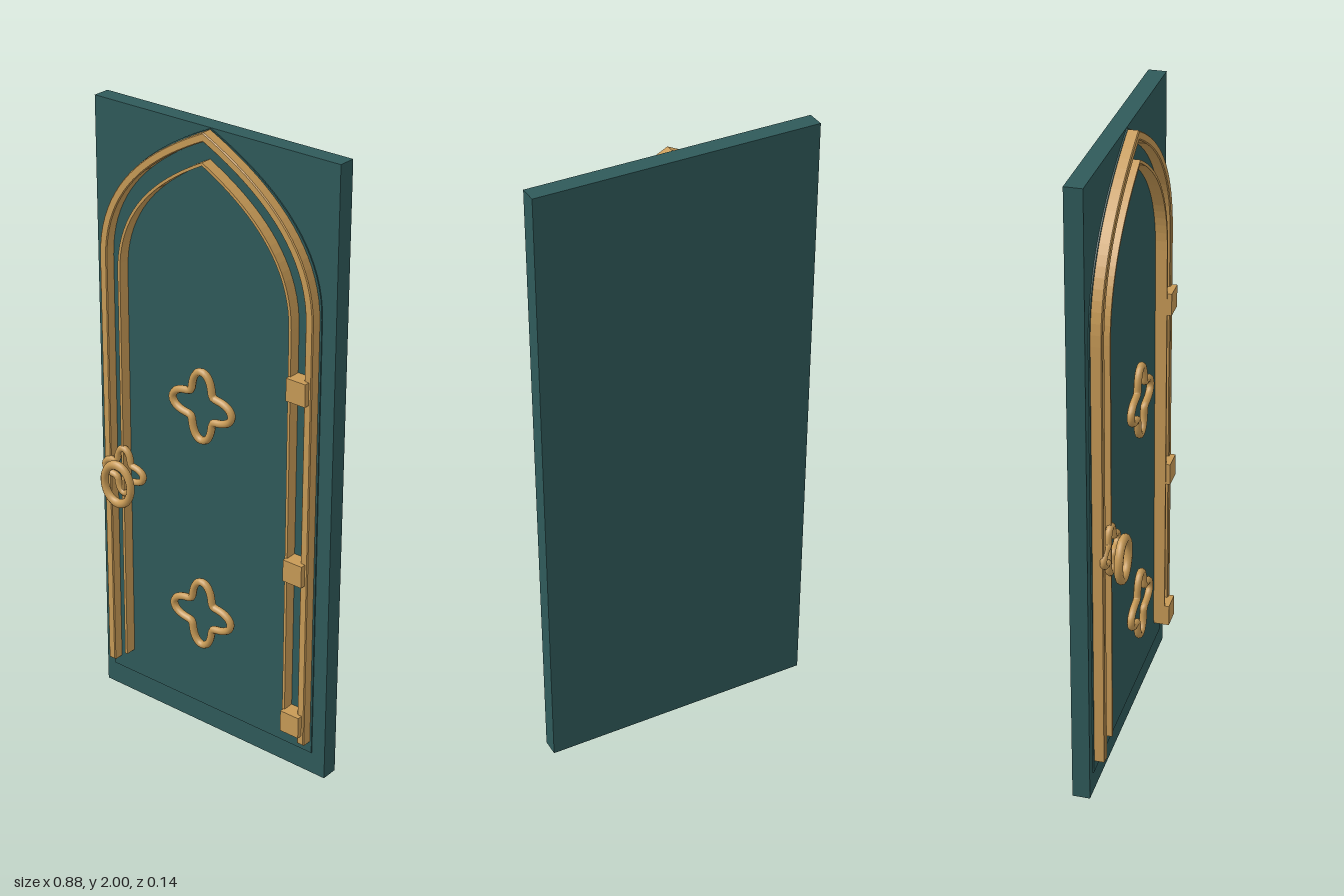
import * as THREE from 'three';

const CX = -0.008; // centre line of the arched door leaf
const teal = new THREE.MeshStandardMaterial({ color: 0x2f5a5a });
const gold = new THREE.MeshStandardMaterial({ color: 0xc79a56 });

// Pointed arch outline from bottom left, over the apex, to bottom right
function archPoints(w, spring, apex, bottom) {
  const rise = apex - spring;
  const curve = new THREE.CubicBezierCurve(
    new THREE.Vector2(-w, spring), new THREE.Vector2(-w, spring + rise * 0.49),
    new THREE.Vector2(-w * 0.53, spring + rise * 0.79), new THREE.Vector2(0, apex));
  const left = [new THREE.Vector2(-w, bottom), ...curve.getPoints(20)];
  const right = left.slice(0, -1).reverse().map(p => new THREE.Vector2(-p.x, p.y));
  return [...left, ...right];
}

// Closed four-lobed curve in the xy plane
class Quatrefoil extends THREE.Curve {
  constructor(size) { super(); this.size = size; }
  getPoint(t, target = new THREE.Vector3()) {
    const a = t * Math.PI * 2;
    const r = this.size * (0.765 + 0.235 * Math.cos(4 * a));
    return target.set(r * Math.cos(a), r * Math.sin(a), 0);
  }
}

export function createModel() {
  const group = new THREE.Group();
  const add = (name, geometry, material, x, y, z) => {
    const mesh = new THREE.Mesh(geometry, material);
    mesh.name = name;
    mesh.position.set(x, y, z);
    group.add(mesh);
    return mesh;
  };
  const extrude = (points, depth, bevel = 0) => new THREE.ExtrudeGeometry(new THREE.Shape(points), {
    depth: depth - bevel, bevelEnabled: bevel > 0, bevelThickness: bevel,
    bevelSize: bevel, bevelOffset: -bevel, bevelSegments: 1 });

  // Wall slab and the arched leaf set into it
  add('wallSlab', new THREE.BoxGeometry(0.88, 2, 0.055), teal, 0, 1, -0.0435);
  add('doorLeaf', extrude(archPoints(0.4, 1.53, 1.999, 0.075), 0.038), teal, CX, 0, -0.05);

  // Arched mouldings: a wide outer band and a thin inner one
  const band = (outer, inner) => [...archPoints(...outer), ...archPoints(...inner).reverse()];
  add('outerMoulding', extrude(band([0.394, 1.52, 1.996, 0.115], [0.368, 1.52, 1.968, 0.115]), 0.033, 0.003),
    gold, CX, 0, -0.012);
  add('innerMoulding', extrude(band([0.322, 1.49, 1.909, 0.16], [0.313, 1.49, 1.899, 0.16]), 0.036),
    gold, CX, 0, -0.012);

  // Hinges
  for (const y of [0.185, 0.717, 1.31]) {
    add('hinge', new THREE.BoxGeometry(0.068, 0.072, 0.052), gold, 0.343, y, 0.012);
  }

  // Four-lobed ornaments
  for (const y of [0.437, 1.15]) {
    add('ornament', new THREE.TubeGeometry(new Quatrefoil(0.112), 80, 0.012, 8, true), gold, CX, y, 0.026);
  }

  // Handle: small four-lobed rose with an oval pull ring
  add('handleRose', new THREE.TubeGeometry(new Quatrefoil(0.077), 64, 0.011, 8, true), gold, -0.322, 0.826, 0.02);
  const ring = add('handleRing', new THREE.TorusGeometry(0.06, 0.0135, 10, 40), gold, -0.318, 0.795, 0.057);
  ring.scale.set(0.88, 1.09, 1);

  return group;
}
